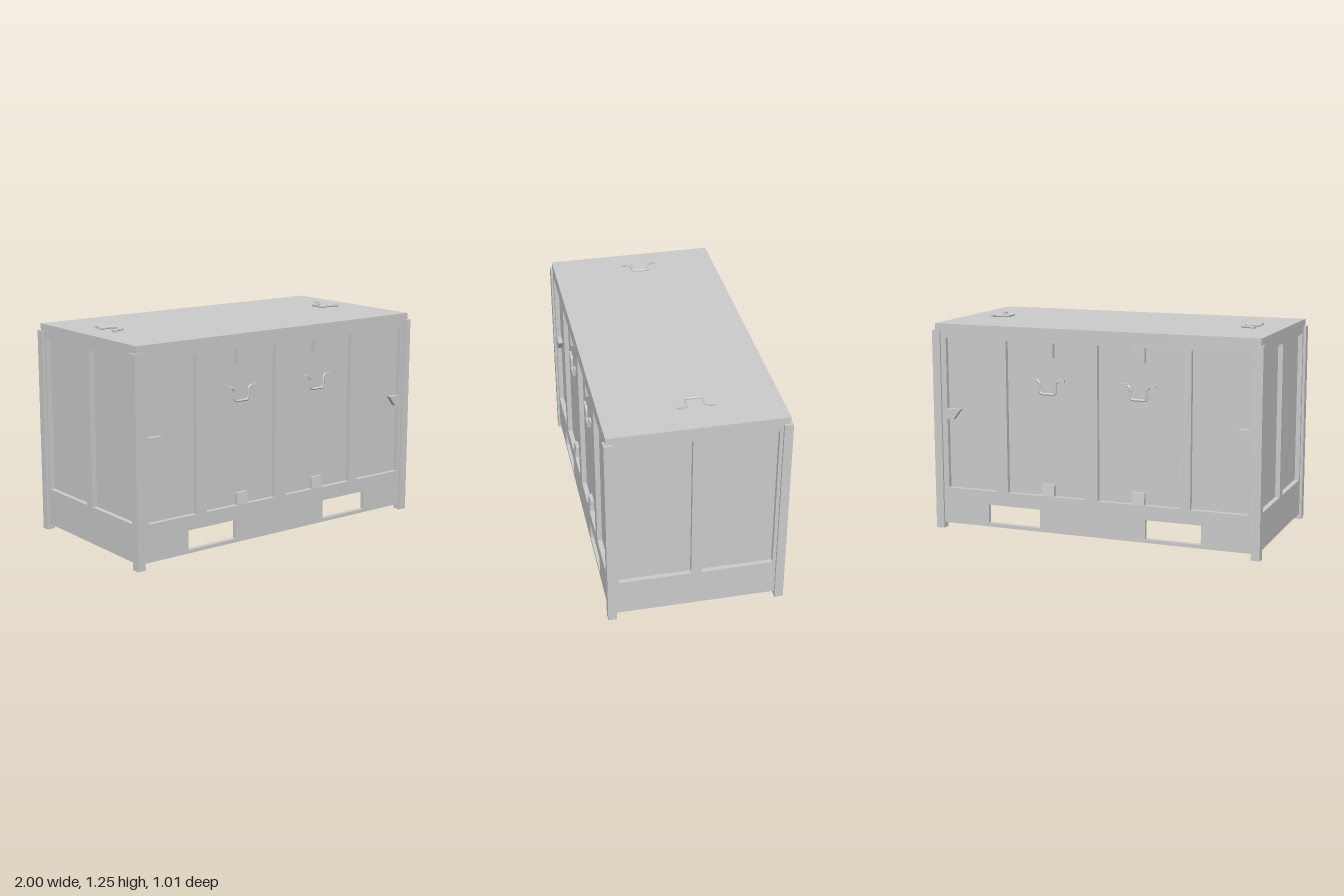
import * as THREE from 'three';

const material = new THREE.MeshStandardMaterial({ color: 0xcccccc, flatShading: true });
const W = 0.985, D = 0.495, BOTTOM = 0.034, TOP = 1.23; // body limits
const T = 0.028;                                        // wall thickness and recess depth
const P0 = 0.25, P1 = 1.147;                            // panel bottom and top

function add(parent, name, geometry, x = 0, y = 0, z = 0) {
  const mesh = new THREE.Mesh(geometry, material);
  mesh.name = name;
  mesh.position.set(x, y, z);
  parent.add(mesh);
  return mesh;
}

const outline = (points) => points.map(([x, y]) => new THREE.Vector2(x, y));
const rect = (x0, y0, x1, y1) => [[x0, y0], [x1, y0], [x1, y1], [x0, y1]];

// Flat wall with openings, outer face at z = T
function wall(halfWidth, holes) {
  const shape = new THREE.Shape(outline(rect(-halfWidth, BOTTOM, halfWidth, TOP)));
  for (const hole of holes) shape.holes.push(new THREE.Path(outline(hole)));
  return new THREE.ExtrudeGeometry(shape, { depth: T, bevelEnabled: false });
}

// Panel opening with a tab hanging from its top edge
const tabbedPanel = (x0, x1, tab) => [
  [x0, P0], [x1, P0], [x1, P1], [tab + 0.038, P1], [tab + 0.038, 1.06],
  [tab - 0.038, 1.06], [tab - 0.038, P1], [x0, P1],
];

// U-shaped square-section handle lying in the xy plane, centred on its bar
function handle() {
  const group = new THREE.Group();
  const side = [[-0.075, 0.083], [-0.066, 0.081], [-0.053, 0.069], [-0.049, 0.055],
    [-0.047, 0.012], [-0.038, 0.002]];
  const points = [...side, ...side.map(([x, y]) => [-x, y]).reverse()]
    .map(([x, y]) => new THREE.Vector3(x, y, 0));
  const path = new THREE.CurvePath();
  for (let i = 1; i < points.length; i++) path.add(new THREE.LineCurve3(points[i - 1], points[i]));
  add(group, 'handleBar', new THREE.TubeGeometry(path, 64, 0.0075, 6, false));
  for (const s of [-1, 1]) {
    add(group, 'handleFoot', new THREE.BoxGeometry(0.036, 0.016, 0.013), s * 0.087, 0.083, 0.002);
  }
  return group;
}

// Long side: framed panels, fork slots, latch tabs and handles
function longSide() {
  const group = new THREE.Group();
  const holes = [
    [[-0.917, P0], [-0.599, P0], [-0.599, P1], [-0.917, P1],
      [-0.917, 0.727], [-0.83, 0.727], [-0.878, 0.665], [-0.917, 0.665]],
    tabbedPanel(-0.53, -0.043, -0.274),
    tabbedPanel(0.037, 0.53, 0.281),
    [[0.593, P0], [0.93, P0], [0.93, 0.665], [0.903, 0.665],
      [0.855, 0.727], [0.93, 0.727], [0.93, P1], [0.593, P1]],
    rect(-0.657, 0.055, -0.326, 0.167),
    rect(0.326, 0.055, 0.657, 0.167),
  ];
  add(group, 'longWall', wall(W, holes), 0, 0, D - T);
  for (const x of [-0.274, 0.281]) {
    // Lower tab, tapering slightly towards the top
    const tab = new THREE.BoxGeometry(0.076, 0.07, T);
    const p = tab.attributes.position;
    for (let i = 0; i < p.count; i++) if (p.getY(i) > 0 && p.getZ(i) > 0) p.setZ(i, T / 2 - 0.008);
    tab.computeVertexNormals();
    add(group, 'lowerTab', tab, x, P0 + 0.035, D - T / 2);

    const grip = handle();
    grip.name = 'sideHandle';
    grip.position.set(x - 0.001, 0.847, D - T + 0.012);
    group.add(grip);
  }
  return group;
}

export function createModel() {
  const model = new THREE.Group();
  model.name = 'container';

  // Inner body, raised to leave the underside hollow
  const floor = 0.2;
  add(model, 'innerBody', new THREE.BoxGeometry(2 * (W - T), TOP - floor, 2 * (D - T)),
    0, (TOP + floor) / 2, 0);

  const endGeometry = wall(D - T, [rect(-0.438, P0, -0.031, P1), rect(0.031, P0, 0.438, P1)]);
  for (const turn of [0, Math.PI]) {
    const side = longSide();
    side.name = turn ? 'backSide' : 'frontSide';
    side.rotation.y = turn;
    model.add(side);

    // End wall with two recessed panels
    const s = turn ? -1 : 1;
    const end = add(model, turn ? 'rightEnd' : 'leftEnd', endGeometry, s * (W - T), 0, 0);
    end.rotation.y = s * Math.PI / 2;
  }

  // Corner posts
  for (const sx of [-1, 1]) for (const sz of [-1, 1]) {
    add(model, 'cornerPost', new THREE.BoxGeometry(0.05, 1.19, 0.05), sx * 0.975, 0.595, sz * 0.482);
  }

  // Roof handles with their bars towards the ends
  for (const [x, s] of [[-0.751, -1], [0.713, 1]]) {
    const grip = handle();
    grip.name = 'roofHandle';
    grip.rotation.set(-Math.PI / 2, 0, -s * Math.PI / 2);
    grip.position.set(x, TOP + 0.008, -0.029);
    model.add(grip);
  }
  return model;
}
